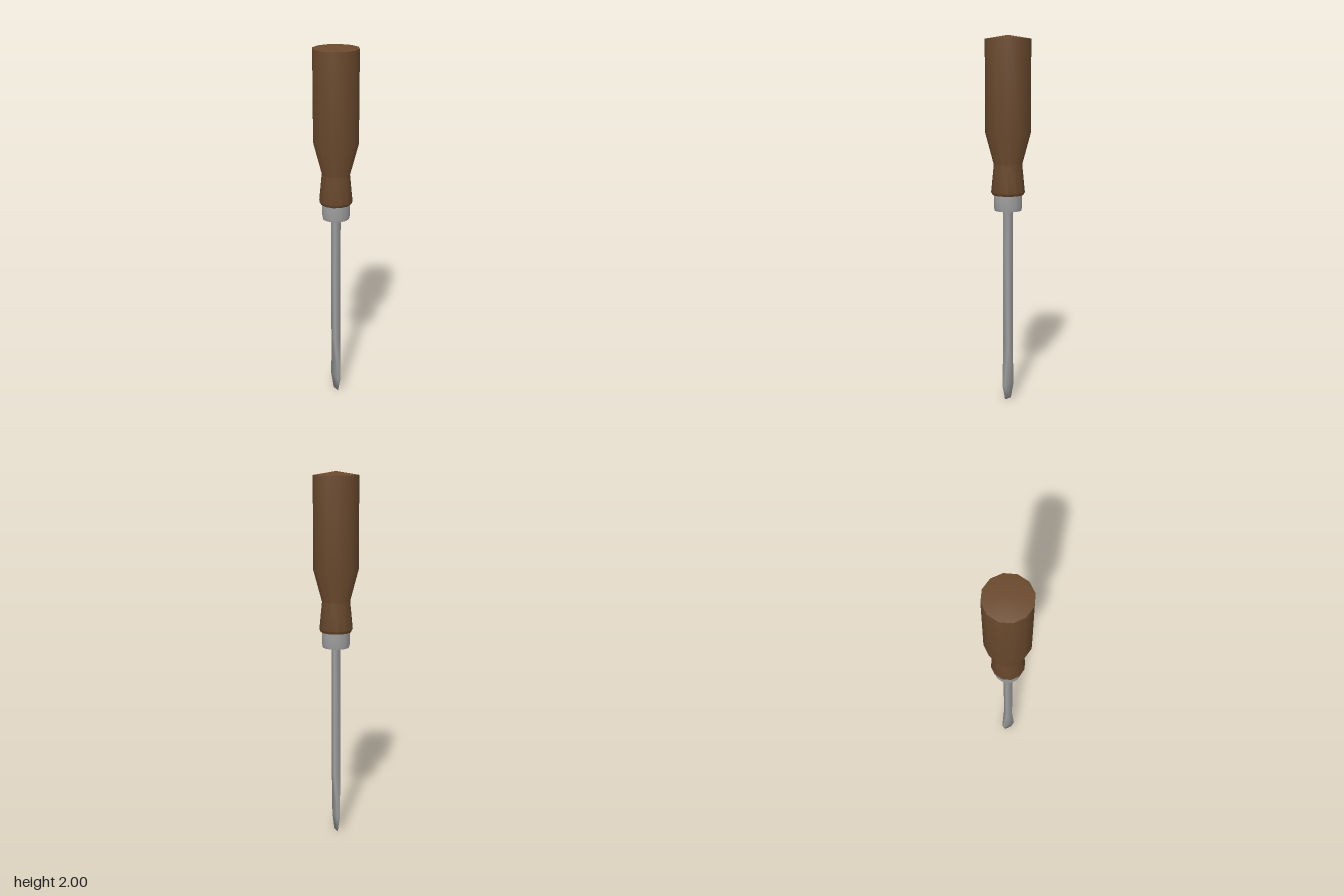
import * as THREE from 'three';
import { toCreasedNormals } from 'three/addons/utils/BufferGeometryUtils.js';

const wood = new THREE.MeshStandardMaterial({ color: 0x6b4a2e });
wood.name = 'brown wood';
const steel = new THREE.MeshStandardMaterial({ color: 0xa0a0a0 });
steel.name = 'grey steel';

// Turned part: [half width across flats, y] from bottom to top, 12 sides with flats facing the axes
function turned(name, profile, material) {
  const k = 1 / Math.cos(Math.PI / 12);
  const points = profile.map(([r, y]) => new THREE.Vector2(r * k, y));
  const geometry = new THREE.LatheGeometry(points, 12, Math.PI / 12);
  const mesh = new THREE.Mesh(toCreasedNormals(geometry, 0.6), material);
  mesh.name = name;
  return mesh;
}

// Forged bar with rectangular sections: [half x, half z, y] from bottom to top
function bar(name, sections, material) {
  const points = sections.map(([, , y]) => new THREE.Vector2(Math.SQRT2, y));
  const geometry = new THREE.LatheGeometry(points, 4, Math.PI / 4);
  const pos = geometry.attributes.position;
  for (let i = 0; i < pos.count; i++) {
    const [hx, hz] = sections[i % sections.length];
    pos.setX(i, pos.getX(i) * hx);
    pos.setZ(i, pos.getZ(i) * hz);
  }
  const mesh = new THREE.Mesh(toCreasedNormals(geometry, 1.65), material);
  mesh.name = name;
  return mesh;
}

export function createModel() {
  const model = new THREE.Group();
  model.name = 'screwdriver';

  // Waisted wooden handle with a shallow conical end
  model.add(turned('handle', [
    [0, 1.155], [0.08, 1.155], [0.088, 1.17], [0.074, 1.32],
    [0.118, 1.49], [0.118, 1.98], [0, 2],
  ], wood));

  // Metal collar under the handle
  model.add(turned('ferrule', [
    [0, 1.07], [0.07, 1.07], [0.074, 1.09], [0.074, 1.16], [0, 1.16],
  ], steel));

  // Square shaft flaring into a flat blade
  model.add(bar('shaftAndBlade', [
    [0, 0, 0], [0.002, 0.022, 0], [0.007, 0.038, 0.085],
    [0.019, 0.019, 0.33], [0.019, 0.019, 1.08],
  ], steel));

  return model;
}
